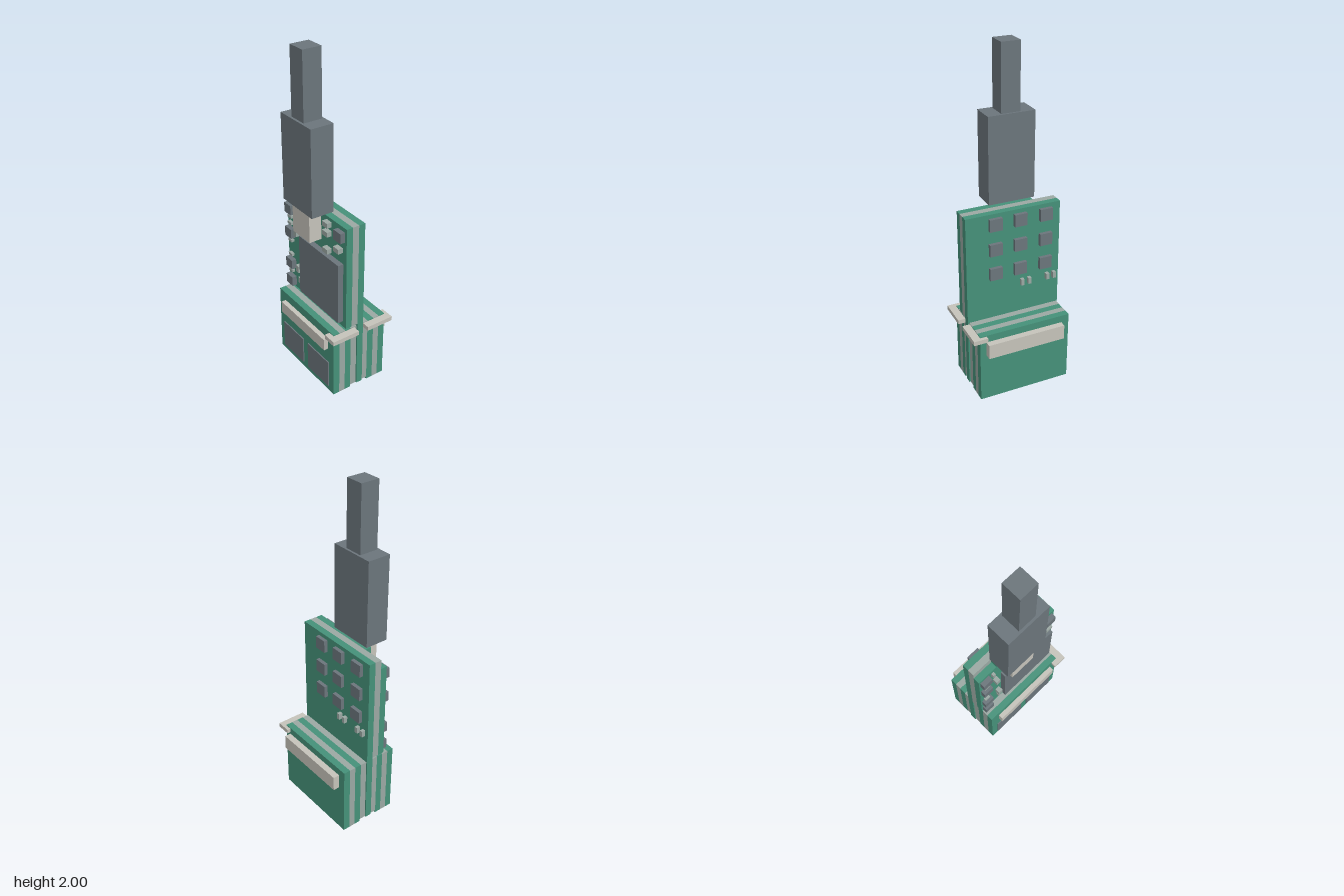
import * as THREE from 'three';

const makeMaterial = (name, color) => {
  const m = new THREE.MeshStandardMaterial({ color });
  m.name = name;
  return m;
};

export function createModel() {
  const green = makeMaterial('boardGreen', 0x459179);
  const grey = makeMaterial('layerGrey', 0x9ba8a3);
  const dark = makeMaterial('chipGrey', 0x6b757b);
  const pale = makeMaterial('connectorPale', 0xc5c3ba);

  const model = new THREE.Group();
  model.name = 'circuitBoardWithCable';

  // Box given by its limits on each axis
  const box = (name, material, [x0, x1], [y0, y1], [z0, z1], parent = model) => {
    const mesh = new THREE.Mesh(new THREE.BoxGeometry(x1 - x0, y1 - y0, z1 - z0), material);
    mesh.position.set((x0 + x1) / 2, (y0 + y1) / 2, (z0 + z1) / 2);
    mesh.name = name;
    parent.add(mesh);
  };
  const group = (name) => {
    const g = new THREE.Group();
    g.name = name;
    model.add(g);
    return g;
  };

  // Upper board: three layers, the back one running down between the blocks
  const board = group('upperBoard');
  const wide = [-0.307, 0.268];
  box('mainLayer', green, wide, [0.015, 1.095], [-0.018, 0.022], board);
  box('middleLayer', grey, wide, [0.45, 1.095], [0.022, 0.062], board);

  // Front layer with a notched corner
  const face = new THREE.Shape([
    [-0.307, 0.45], [0.268, 0.45], [0.268, 1.095], [-0.175, 1.095], [-0.175, 1.04], [-0.307, 1.04],
  ].map(([x, y]) => new THREE.Vector2(x, y)));
  const front = new THREE.Mesh(new THREE.ExtrudeGeometry(face, { depth: 0.04, bevelEnabled: false }), green);
  front.position.z = 0.062;
  front.name = 'frontLayer';
  board.add(front);

  // Lower blocks: alternating layers on both sides of the main layer
  const narrow = [-0.3, 0.26];
  const blocks = group('lowerBlocks');
  const frontZ = [0.022, 0.062, 0.101, 0.14, 0.18];
  const backZ = [-0.018, -0.057, -0.098, -0.136, -0.177];
  for (const zs of [frontZ, backZ]) {
    for (let i = 0; i < 4; i++) {
      const z = [zs[i], zs[i + 1]].sort((a, b) => a - b);
      box('blockLayer', i % 2 ? green : grey, narrow, [i ? 0 : 0.015, 0.434], z, blocks);
    }
  }

  // Connector bars, side clips and thin chips on the blocks
  box('frontBar', pale, [-0.24, 0.207], [0.307, 0.38], [0.18, 0.209]);
  box('backBar', pale, [-0.253, 0.222], [0.3, 0.39], [-0.215, -0.177]);
  box('frontClip', pale, [0.22, 0.305], [0.403, 0.429], [0.038, 0.212]);
  box('backClip', pale, [0.22, 0.305], [0.403, 0.429], [-0.198, -0.025]);
  box('blockChip', dark, [-0.257, -0.047], [0.035, 0.21], [0.18, 0.187]);
  box('blockChip', dark, [0.003, 0.215], [0.035, 0.21], [0.18, 0.187]);

  // Socket, plug and cable
  box('socket', pale, [-0.13, 0.033], [0.923, 1.11], [0.102, 0.18]);
  box('plug', dark, [-0.185, 0.093], [1.11, 1.62], [0.062, 0.202]);
  box('cable', dark, [-0.102, 0.01], [1.62, 2], [0.075, 0.188]);

  // Chips on the front of the board
  const chips = group('frontChips');
  box('mainChip', dark, [-0.143, 0.239], [0.487, 0.867], [0.102, 0.136], chips);
  for (const y of [0.467, 0.587, 0.798, 0.955]) {
    box('smallChip', dark, [-0.297, -0.233], [y, y + 0.06], [0.102, 0.132], chips);
  }
  box('smallChip', dark, [0.188, 0.252], [1.01, 1.07], [0.102, 0.132], chips);

  // Small components on the front
  const parts = group('frontComponents');
  for (const y of [0.56, 0.674, 0.771, 0.887, 0.93]) {
    box('component', grey, [-0.285, -0.248], [y - 0.008, y + 0.008], [0.102, 0.12], parts);
  }
  for (const [x, y, w, h, z] of [
    [-0.207, 0.985, 0.018, 0.04, 0.12], [-0.191, 0.86, 0.028, 0.042, 0.133],
    [-0.175, 0.622, 0.028, 0.044, 0.133], [-0.174, 0.538, 0.018, 0.038, 0.12],
    [0.108, 1.06, 0.047, 0.03, 0.133], [0.108, 1.005, 0.047, 0.03, 0.133],
    [0.108, 0.897, 0.047, 0.028, 0.133], [0.21, 0.951, 0.047, 0.03, 0.133],
  ]) {
    box('component', grey, [x - w / 2, x + w / 2], [y - h / 2, y + h / 2], [0.102, z], parts);
  }

  // Grid of chips and two component pairs on the back
  const back = group('backChips');
  for (const x of [-0.253, -0.095, 0.056]) {
    for (const y of [0.69, 0.843, 0.997]) {
      box('backChip', dark, [x, x + 0.076], [y, y + 0.074], [-0.04, -0.018], back);
    }
  }
  for (const x of [-0.273, -0.23, -0.115, -0.07]) {
    box('backComponent', grey, [x - 0.01, x + 0.01], [0.613, 0.651], [-0.041, -0.018], back);
  }

  return model;
}
